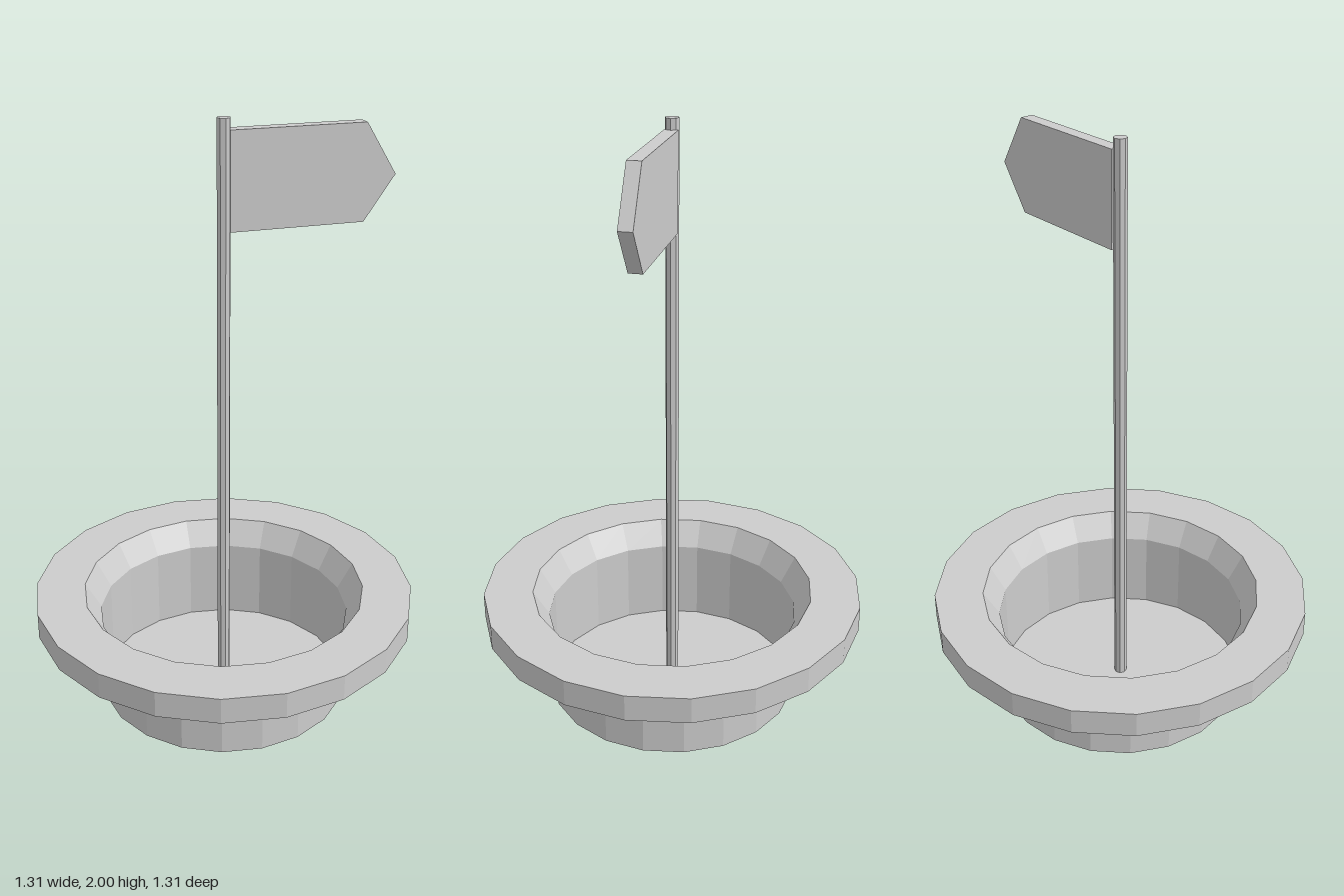
import * as THREE from 'three';

export function createModel() {
  const group = new THREE.Group();
  const grey = new THREE.MeshStandardMaterial({
    color: 0xcccccc, flatShading: true, side: THREE.DoubleSide,
  });
  grey.name = 'lightGrey';

  const add = (name, geometry) => {
    const mesh = new THREE.Mesh(geometry, grey);
    mesh.name = name;
    group.add(mesh);
    return mesh;
  };
  const lathe = (points) =>
    new THREE.LatheGeometry(points.map(([r, y]) => new THREE.Vector2(r, y)), 20);

  // Cup: floor, straight wall and sloped lip
  add('cup', lathe([[0, 0], [0.433, 0], [0.433, 0.29], [0.487, 0.38]]));

  // Rim: flat ring with a hanging outer skirt, open underneath
  add('rim', lathe([[0.656, 0.29], [0.656, 0.38], [0.487, 0.38]]));

  // Pole standing on the cup floor
  const pole = add('pole', new THREE.CylinderGeometry(0.022, 0.022, 1.998, 8));
  pole.position.y = 1.001;

  // Pointed flag board
  const outline = new THREE.Shape([
    [0.015, 1.652], [0.457, 1.652], [0.56, 1.798], [0.457, 1.965], [0.015, 1.965],
  ].map(([x, y]) => new THREE.Vector2(x, y)));
  const flag = add('flag', new THREE.ExtrudeGeometry(outline, { depth: 0.044, bevelEnabled: false }));
  flag.position.z = -0.022;

  return group;
}
